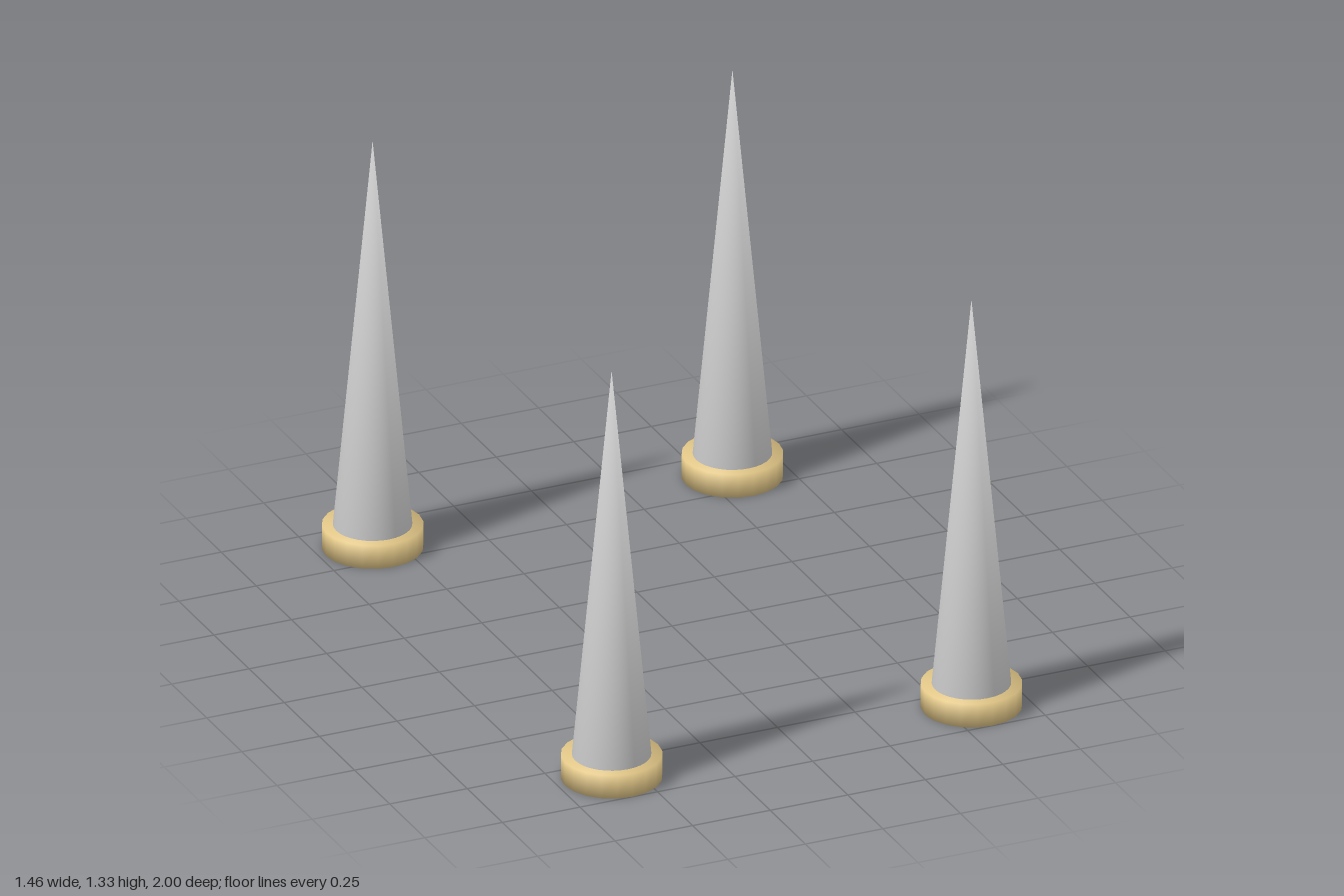
import * as THREE from 'three';
import { mergeVertices } from 'three/addons/utils/BufferGeometryUtils.js';

// Weld all corners so the shading rolls softly over rims and tip
function softened(geometry) {
  geometry.deleteAttribute('uv');
  geometry.deleteAttribute('normal');
  const welded = mergeVertices(geometry, 1e-4);
  welded.computeVertexNormals();
  return welded;
}

export function createModel() {
  const model = new THREE.Group();
  model.name = 'fourSpikes';

  const baseHeight = 0.075;
  const spikeHeight = 1.25;

  const grey = new THREE.MeshStandardMaterial({ color: 0xcccccc });
  const gold = new THREE.MeshStandardMaterial({ color: 0xe0c586 });

  // Round foot, standing on the ground
  const baseGeometry = softened(new THREE.CylinderGeometry(0.15, 0.15, baseHeight, 20));
  baseGeometry.translate(0, baseHeight / 2, 0);

  // Tall cone, standing on the foot
  const spikeGeometry = softened(new THREE.ConeGeometry(0.117, spikeHeight, 32));
  spikeGeometry.translate(0, baseHeight + spikeHeight / 2, 0);

  // One spike in each corner
  for (const [endName, z] of [['front', 0.85], ['back', -0.85]]) {
    for (const [sideName, x] of [['Left', 0.58], ['Right', -0.58]]) {
      const corner = new THREE.Group();
      corner.name = endName + sideName + 'Spike';
      corner.position.set(x, 0, z);

      const base = new THREE.Mesh(baseGeometry, gold);
      base.name = 'base';
      const spike = new THREE.Mesh(spikeGeometry, grey);
      spike.name = 'cone';

      corner.add(base, spike);
      model.add(corner);
    }
  }
  return model;
}
